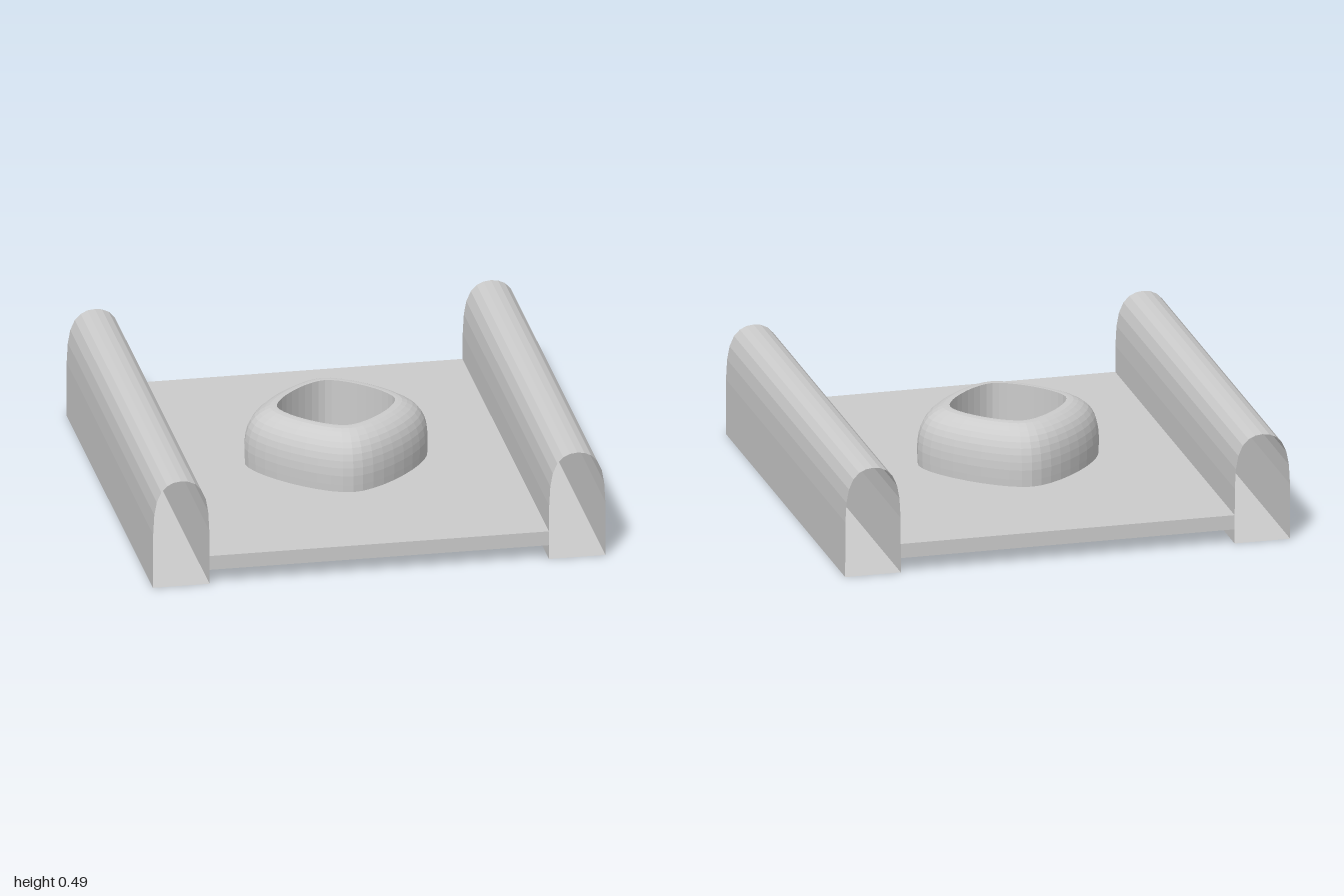
import * as THREE from 'three';

const material = new THREE.MeshStandardMaterial({
  color: 0xcccccc, flatShading: true, side: THREE.DoubleSide,
});

// Skin between successive closed loops of points
function loft(loops) {
  const n = loops[0].length;
  const index = [];
  for (let i = 0; i < loops.length - 1; i++) {
    for (let j = 0; j < n; j++) {
      const a = i * n + j, b = i * n + (j + 1) % n;
      index.push(a, b, a + n, b, b + n, a + n);
    }
  }
  const geometry = new THREE.BufferGeometry().setFromPoints(loops.flat());
  geometry.setIndex(index);
  geometry.computeVertexNormals();
  return geometry;
}

function addMesh(group, name, geometry) {
  const mesh = new THREE.Mesh(geometry, material);
  mesh.name = name;
  group.add(mesh);
  return mesh;
}

// Closed spline through four corners: a softly rounded diamond
function diamond(radius, y) {
  const corners = [[1, 0], [0, -1], [-1, 0], [0, 1]].map(
    ([x, z]) => new THREE.Vector3(x * radius, y, z * radius));
  return new THREE.CatmullRomCurve3(corners, true).getPoints(40).slice(0, 40);
}

export function createModel() {
  const model = new THREE.Group();
  const hole = 0.26, plateBottom = 0.065, plateTop = 0.13;

  // Flat plate with the diamond opening
  const outline = new THREE.Shape([[-0.75, -1], [0.75, -1], [0.75, 1], [-0.75, 1]]
    .map(([x, y]) => new THREE.Vector2(x, y)));
  outline.holes.push(new THREE.Path(diamond(hole, 0).map((p) => new THREE.Vector2(p.x, p.z))));
  const plate = new THREE.ExtrudeGeometry(outline, { depth: plateTop - plateBottom, bevelEnabled: false });
  plate.rotateX(-Math.PI / 2).translate(0, plateBottom, 0);
  addMesh(model, 'basePlate', plate);

  // Domed collar: straight bore, rounded outer wall
  const wall = new THREE.SplineCurve([
    [hole, 0.388], [0.3, 0.383], [0.355, 0.35], [0.39, 0.295], [0.404, 0.22], [0.402, plateTop],
  ].map(([r, y]) => new THREE.Vector2(r, y))).getPoints(12);
  const collar = [diamond(hole, plateTop), ...wall.map((p) => diamond(p.x, p.y))];
  addMesh(model, 'collar', loft(collar));

  // Hollow arched side rails with open ends and a flat floor
  const half = [[0.125, 0], [0.124, 0.25], [0.119, 0.34], [0.108, 0.4], [0.088, 0.445], [0.062, 0.472], [0.032, 0.486]];
  const arch = [...half, [0, 0.49], ...half.map(([x, y]) => [-x, y]).reverse()];
  const railGeometry = loft([-1, 1].map((z) => arch.map(([x, y]) => new THREE.Vector3(x, y, z))));
  for (const [name, side] of [['leftRail', 1], ['rightRail', -1]]) {
    addMesh(model, name, railGeometry).position.x = side * 0.875;
  }

  return model;
}
